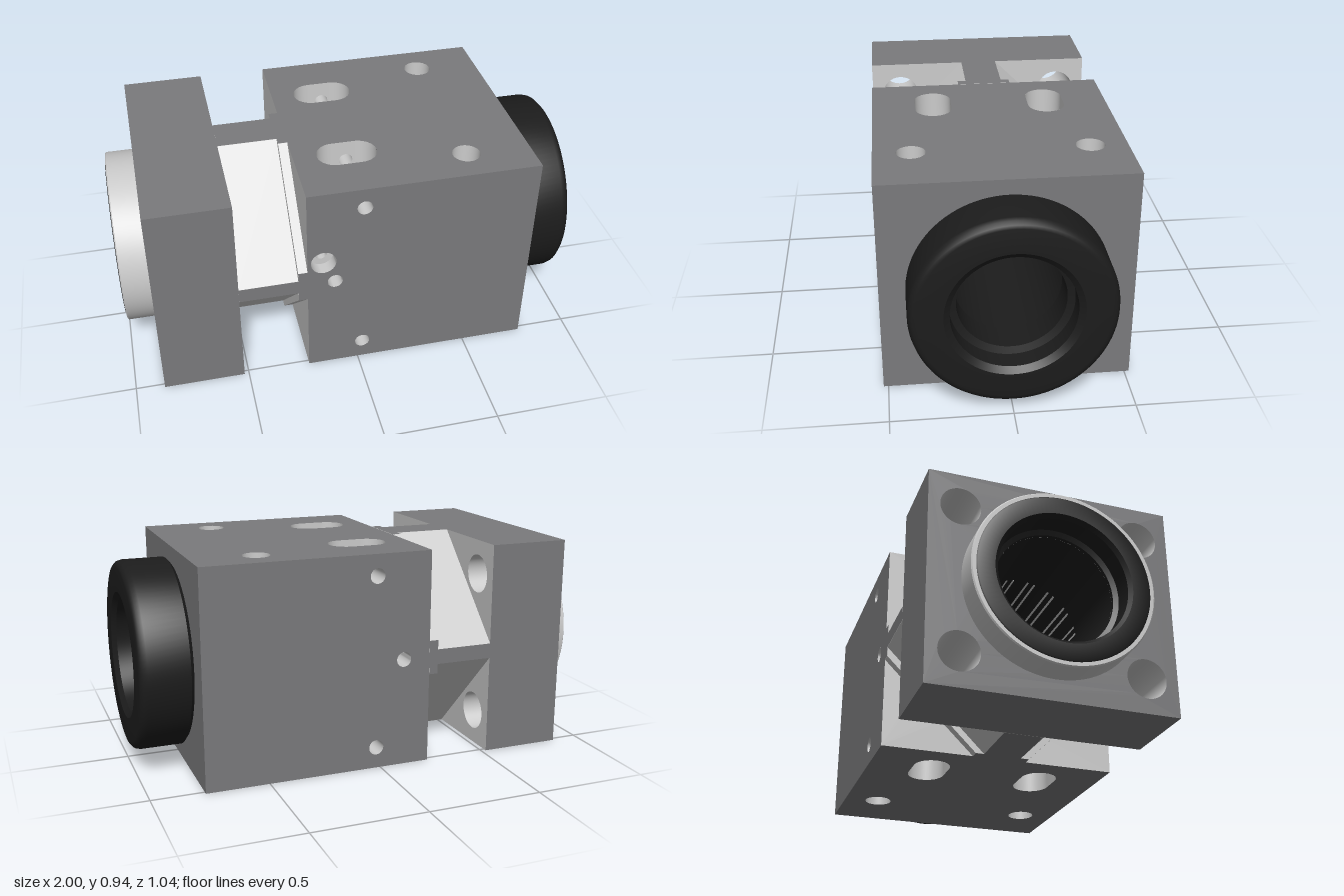
import * as THREE from 'three';
import { toCreasedNormals } from 'three/addons/utils/BufferGeometryUtils.js';

const material = (color) => new THREE.MeshStandardMaterial({ color, side: THREE.DoubleSide });

export function createModel() {
  const coat = material(0x7a7a7c), bare = material(0xcccccc), black = material(0x1c1c1c);
  const model = new THREE.Group();
  const block = new THREE.Group();       // built around the bore axis, then lifted
  block.name = 'housing';
  block.position.y = 0.47;
  model.add(block);

  const H = 0.47, D = 0.52, BORE = 0.25;
  const X0 = -0.875, X1 = -0.52, X2 = -0.265, X3 = -0.225, X4 = 0.775;
  const slot = { x: 0.005, z: 0.25, r: 0.08, half: 0.05 };
  const pin = { x: 0.02, y: 0.377, r: 0.033 };

  const add = (name, geometry, mat) => {
    const mesh = new THREE.Mesh(geometry, mat);
    mesh.name = name;
    block.add(mesh);
    return mesh;
  };
  const circle = (x, y, r) => new THREE.Path().absarc(x, y, r, 0, Math.PI * 2, true);
  const stadium = (x, y, half, r) => new THREE.Path()
    .absarc(x + half, y, r, -Math.PI / 2, Math.PI / 2, false)
    .absarc(x - half, y, r, Math.PI / 2, Math.PI * 1.5, false).closePath();
  const polygon = (points, holes = []) => {
    const shape = new THREE.Shape(points.map(([x, y]) => new THREE.Vector2(x, y)));
    shape.holes.push(...holes);
    return shape;
  };
  const rect = (a0, a1, b0, b1, holes) => polygon([[a0, b0], [a1, b0], [a1, b1], [a0, b1]], holes);

  // Flat panel facing along one axis
  const panel = (name, shape, axis, at, mat) => {
    const mesh = add(name, new THREE.ShapeGeometry(shape, 24), mat);
    if (axis === 'x') mesh.rotation.y = Math.PI / 2;
    if (axis === 'y') mesh.rotation.x = -Math.PI / 2;
    mesh.position[axis] = at;
    return mesh;
  };
  // Open tube between two coordinates on an axis
  const tube = (name, r, axis, from, to, pos, mat) => {
    const mesh = add(name, new THREE.CylinderGeometry(r, r, Math.abs(to - from), 48, 1, true), mat);
    if (axis === 'x') mesh.rotation.z = Math.PI / 2;
    if (axis === 'z') mesh.rotation.x = Math.PI / 2;
    mesh.position.set(...pos);
    mesh.position[axis] = (from + to) / 2;
    return mesh;
  };
  const lathe = (name, points, mat, segments = 96) => add(name, toCreasedNormals(
    new THREE.LatheGeometry(points.map(([r, y]) => new THREE.Vector2(r, y)), segments), 0.6), mat);

  // Main body panels
  const pins = () => [1, -1].map((s) => circle(pin.x, s * pin.y, pin.r));
  panel('bodyFront', rect(X3, X4, -H, H,
    [...pins(), circle(-0.155, 0.115, 0.055), circle(-0.105, 0.005, 0.033)]), 'z', D, coat);
  panel('bodyBack', rect(X3, X4, -H, H, [...pins(), circle(-0.105, 0.005, 0.033)]), 'z', -D, coat);
  for (const s of [1, -1]) {
    const holes = [1, -1].flatMap((k) =>
      [stadium(slot.x, k * slot.z, slot.half, slot.r), circle(0.495, k * 0.365, 0.06)]);
    panel(s > 0 ? 'bodyTop' : 'bodyBottom', rect(X3, X4, -D, D, holes), 'y', s * H, coat);
  }
  panel('bodyEnd', rect(-D, D, -H, H, [circle(0, 0, BORE)]), 'x', X4, coat);
  panel('bodyInnerEnd', rect(-D, D, -H, H, [circle(0, 0, BORE)]), 'x', X3, bare);

  // Bore, split where the slots break into it
  const slotEdge = (z) => {
    const d = Math.abs(z) - slot.z;
    return Math.abs(d) < slot.r ? slot.half + Math.sqrt(slot.r ** 2 - d ** 2) : 0;
  };
  for (const s of [1, -1]) {
    const wall = new THREE.CylinderGeometry(BORE, BORE, 1, 128, 1, true).rotateZ(-Math.PI / 2);
    const p = wall.attributes.position;
    for (let i = 0; i < p.count; i++) {
      const outer = p.getX(i) * s > 0;
      p.setX(i, outer ? (s > 0 ? X4 : X3) : slot.x + s * slotEdge(p.getZ(i)));
    }
    add('boreWall', wall, black);
  }
  tube('neckBore', BORE, 'x', X0, X3, [0, 0, 0], black);

  // Slot walls run from the outer faces down to the bore
  const boreHeight = (z) => Math.sqrt(Math.max(0, BORE ** 2 - z ** 2));
  for (const s of [1, -1]) for (const k of [1, -1]) {
    for (const e of [1, -1]) {
      const z = k * (slot.z + e * slot.r);
      const [low, high] = [s * boreHeight(z), s * H].sort((a, b) => a - b);
      panel('slotSide', rect(slot.x - slot.half, slot.x + slot.half, low, high,
        [circle(pin.x, s * pin.y, pin.r * 0.9)]), 'z', z, bare);
      const end = new THREE.CylinderGeometry(slot.r, slot.r, 1, 24, 1, true, e > 0 ? 0 : Math.PI, Math.PI);
      end.translate(slot.x + e * slot.half, 0, k * slot.z);
      const p = end.attributes.position;
      for (let i = 0; i < p.count; i++) p.setY(i, s * (p.getY(i) > 0 ? H : boreHeight(p.getZ(i))));
      end.computeVertexNormals();
      add('slotEnd', end, bare);
    }
  }

  // Cross pin holes, interrupted by the slots
  const near = slot.z - slot.r, far = slot.z + slot.r;
  for (const s of [1, -1])
    for (const [a, b] of [[-D, -far], [-near, near], [far, D]])
      tube('pinHole', pin.r, 'z', a, b, [pin.x, s * pin.y, 0], bare);

  // Blind holes: deep ones above and below, small ones front and back
  for (const s of [1, -1]) {
    for (const k of [1, -1]) {
      tube('deepHole', 0.06, 'y', s * H, s * (H - 0.25), [0.495, 0, k * 0.365], bare);
      panel('deepHoleFloor', polygon(circle(0, 0, 0.06).getPoints(24).map((v) => [v.x, v.y])),
        'y', s * (H - 0.25), black).position.set(0.495, s * (H - 0.25), k * 0.365);
    }
    const small = lathe('sideHole', [[0.033, 0], [0.033, -0.2], [0, -0.2]], bare, 32);
    small.rotation.x = s * Math.PI / 2;
    small.position.set(-0.105, 0.005, s * D);
  }
  const sunk = lathe('counterboredHole',
    [[0.055, 0], [0.055, -0.06], [0.025, -0.06], [0.025, -0.16], [0, -0.16]], bare, 40);
  sunk.rotation.x = Math.PI / 2;
  sunk.position.set(-0.155, 0.115, D);

  // Neck with four slanted corner cuts, stepped next to the body
  const neck = (name, x0, x1, cz, cy) => {
    const outline = [[cz, H], [-cz, H], [-D, cy], [-D, -cy], [-cz, -H], [cz, -H], [D, -cy], [D, cy]];
    const geometry = new THREE.ExtrudeGeometry(polygon(outline, [circle(0, 0, BORE)]),
      { depth: x1 - x0, bevelEnabled: false, curveSegments: 32 });
    const mesh = add(name, geometry, bare);
    mesh.rotation.y = Math.PI / 2;
    mesh.position.x = x0;
    // Coated skin on the uncut strips
    for (const s of [1, -1]) {
      panel(name + 'Strip', rect(x0, x1, -cy, cy), 'z', s * (D + 0.001), coat);
      panel(name + 'Strip', rect(x0, x1, -cz, cz), 'y', s * (H + 0.001), coat);
    }
  };
  neck('neck', X1, X2, 0.083, 0.033);
  neck('neckStep', X2, X3, 0.12, 0.075);

  // Square flange with four screw holes
  const corners = [1, -1].flatMap((a) => [1, -1].map((b) => [a * 0.385, b * 0.32]));
  for (const [x, mat] of [[X0, coat], [X1, bare]])
    panel('flangeFace', rect(-D, D, -H, H,
      [circle(0, 0, BORE), ...corners.map(([z, y]) => circle(z, y, 0.085))]), 'x', x, mat);
  for (const [z, y] of corners) tube('flangeHole', 0.085, 'x', X0, X1, [0, y, z], bare);
  for (const s of [1, -1]) {
    panel('flangeSide', rect(X0, X1, -H, H), 'z', s * D, coat);
    panel('flangeSide', rect(X0, X1, -D, D), 'y', s * H, coat);
  }

  // End rings around the bore
  const ring = (name, points, mat) => { lathe(name, points, mat).rotation.z = -Math.PI / 2; };
  ring('frontRing', [[0.25, X4], [0.395, X4], [0.413, 0.79], [0.413, 0.965], [0.408, 0.985],
    [0.395, 0.997], [0.38, 1], [0.275, 1], [0.25, 0.98], [0.25, 0.9], [0.22, 0.89], [0.22, 0.76],
    [0.25, 0.76]], black);
  ring('rearCollar', [[0.36, X0], [0.38, X0], [0.38, -0.992], [0.375, -0.997], [0.36, -0.997]], bare);
  ring('rearInsert', [[0.36, X0], [0.36, -0.997], [0.355, -1], [0.285, -1], [0.27, -0.985],
    [0.27, -0.9], [0.25, -0.89], [0.25, X0]], black);

  return model;
}
